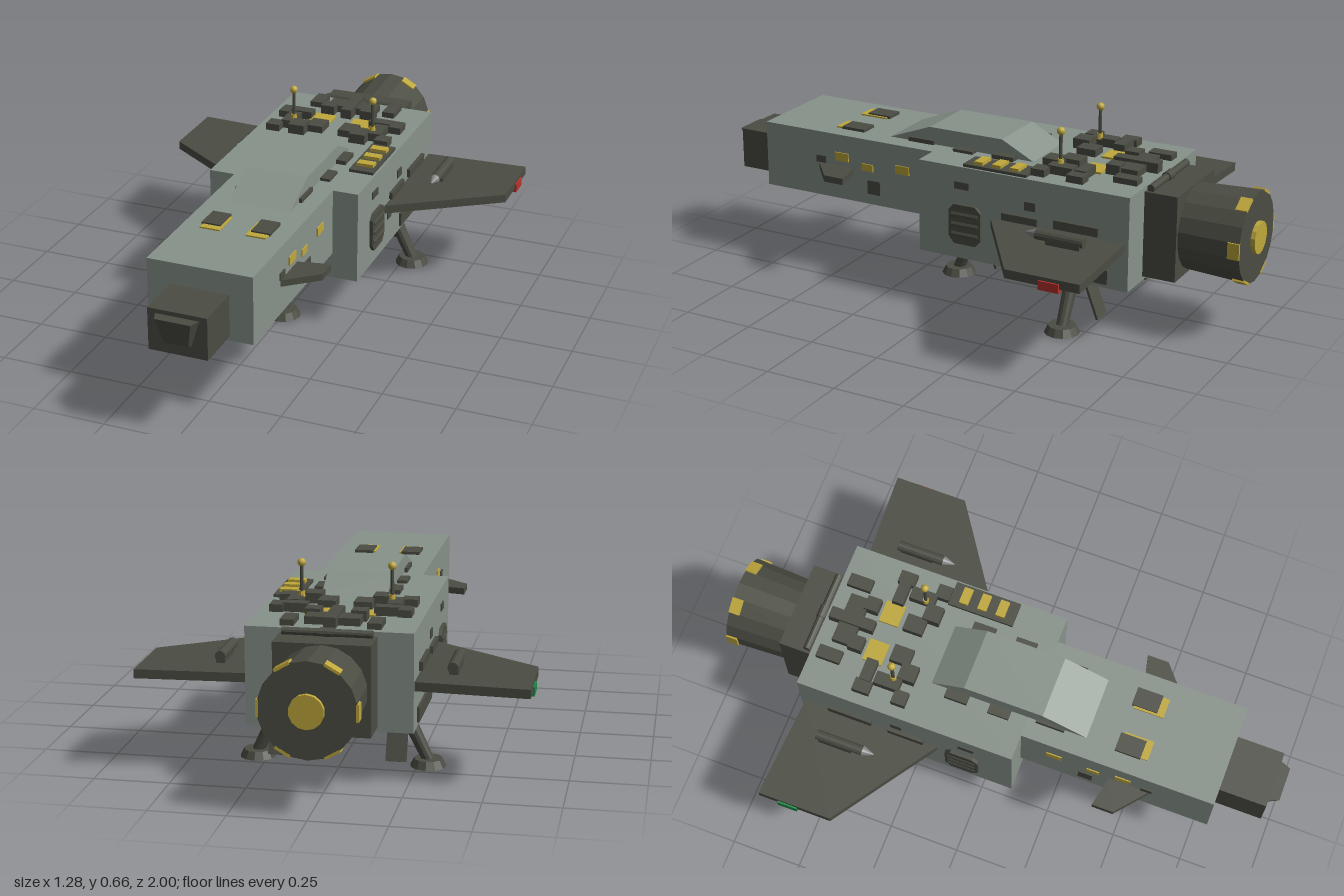
import * as THREE from 'three';

const mat = (name, color) => {
  const m = new THREE.MeshStandardMaterial({ color });
  m.name = name;
  return m;
};

export function createModel() {
  const hull = mat('hull grey green', 0x87928a);
  const dark = mat('dark olive', 0x4b4d43);
  const yellow = mat('yellow', 0xbfa83c);
  const red = mat('red', 0xb8322a);
  const green = mat('green', 0x1c8a45);
  const steel = mat('steel', 0x808482);
  const root = new THREE.Group();
  root.name = 'spacecraft';

  const add = (name, geo, m, x = 0, y = 0, z = 0) => {
    const mesh = new THREE.Mesh(geo, m);
    mesh.name = name;
    mesh.position.set(x, y, z);
    root.add(mesh);
    return mesh;
  };
  // box from its limits on each axis
  const box = (name, m, x0, x1, y0, y1, z0, z1) =>
    add(name, new THREE.BoxGeometry(Math.abs(x1 - x0), y1 - y0, Math.abs(z1 - z0)), m, (x0 + x1) / 2, (y0 + y1) / 2, (z0 + z1) / 2);
  // round bar between two points, r0 at the start and r1 at the end
  const rod = (name, m, a, b, r0, r1 = r0, n = 12) => {
    const p = new THREE.Vector3(...a), q = new THREE.Vector3(...b), d = q.clone().sub(p);
    const g = new THREE.CylinderGeometry(r1, r0, d.length(), n).toNonIndexed();
    g.computeVertexNormals();
    const mesh = add(name, g, m, ...p.clone().add(q).multiplyScalar(0.5));
    mesh.quaternion.setFromUnitVectors(new THREE.Vector3(0, 1, 0), d.normalize());
    return mesh;
  };
  const extrude = (pts, depth) =>
    new THREE.ExtrudeGeometry(new THREE.Shape(pts.map(p => new THREE.Vector2(...p))), { depth, bevelEnabled: false });
  // flat plan outline [x, z] raised from y0 to y1
  const plan = (name, m, pts, y0, y1) =>
    add(name, extrude(pts.map(([x, z]) => [x, -z]), y1 - y0).rotateX(-Math.PI / 2), m, 0, y0);
  // side outline [z, y] centred across x
  const profile = (name, m, pts, width, x = 0) =>
    add(name, extrude(pts.map(([z, y]) => [-z, y]), width).translate(0, 0, -width / 2).rotateY(Math.PI / 2), m, x);

  // fuselage and canopy
  box('rearFuselage', hull, -0.27, 0.27, 0.18, 0.505, -0.655, 0.12);
  box('frontFuselage', hull, -0.18, 0.18, 0.27, 0.505, 0.12, 0.8);
  profile('canopy', hull, [[0.33, 0.504], [0.17, 0.565], [-0.11, 0.565], [-0.23, 0.504]], 0.22);

  // nose with a tapering sensor visor
  box('nose', dark, -0.1, 0.1, 0.285, 0.43, 0.8, 0.965);
  const visor = new THREE.BoxGeometry(0.15, 0.1, 0.04);
  const vp = visor.attributes.position;
  for (let i = 0; i < vp.count; i++) {
    const top = vp.getY(i) > 0, front = vp.getZ(i) > 0;
    const half = top ? (front ? 0.06 : 0.076) : (front ? 0.04 : 0.05);
    vp.setXYZ(i, Math.sign(vp.getX(i)) * half, top ? 0.415 : 0.325, front ? (top ? 1 : 0.975) : 0.96);
  }
  visor.computeVertexNormals();
  add('noseVisor', visor, dark);

  // engine
  box('engineMount', dark, -0.155, 0.155, 0.195, 0.49, -0.77, -0.655);
  rod('engineNozzle', dark, [0, 0.342, -0.76], [0, 0.342, -0.985], 0.145, 0.155, 18);
  rod('engineCore', yellow, [0, 0.342, -0.98], [0, 0.342, -1], 0.055, 0.055, 14);
  rod('enginePipe', dark, [-0.145, 0.5, -0.672], [0.145, 0.5, -0.672], 0.013);
  rod('pipeCollar', dark, [-0.022, 0.5, -0.672], [0.022, 0.5, -0.672], 0.017);
  for (let i = 0; i < 6; i++) {
    const a = i * Math.PI / 3;
    const patch = add('nozzleMark', new THREE.BoxGeometry(0.009, 0.055, 0.04), yellow,
      Math.cos(a) * 0.153, 0.342 + Math.sin(a) * 0.153, -0.966);
    patch.rotation.z = a;
  }

  // roof equipment: x, width, z start, z end, top height
  const roof = [
    [0.14, 0.045, -0.63, -0.545, 0.525], [0.055, 0.07, -0.6, -0.53, 0.53],
    [0.075, 0.05, -0.54, -0.49, 0.54], [0.21, 0.045, -0.47, -0.41, 0.53],
    [0.15, 0.08, -0.46, -0.42, 0.535], [0.165, 0.045, -0.41, -0.32, 0.535],
    [0.06, 0.06, -0.39, -0.32, 0.53], [0.115, 0.06, -0.34, -0.28, 0.54],
    [0.205, 0.05, -0.33, -0.28, 0.53], [0.128, 0.035, -0.17, -0.09, 0.52],
    [0.128, 0.035, -0.015, 0.06, 0.515], [0.113, 0.015, 0.15, 0.25, 0.52],
  ];
  box('roofSpine', dark, -0.02, 0.02, 0.5, 0.54, -0.64, -0.48);

  for (const s of [-1, 1]) {
    for (const [x, w, z0, z1, top] of roof)
      box('roofUnit', dark, s * (x - w / 2), s * (x + w / 2), 0.5, top, z0, z1);
    box('roofPanel', yellow, s * 0.035, s * 0.115, 0.5, 0.512, -0.48, -0.41);
    box('hatchFrame', yellow, s * 0.08 - 0.035, s * 0.08 + 0.035, 0.504, 0.51, 0.44, 0.545);
    box('hatchCover', dark, s * 0.086 - 0.033, s * 0.086 + 0.033, 0.504, 0.515, 0.43, 0.52);

    // antennas
    rod('antennaMast', dark, [s * 0.15, 0.5, -0.35], [s * 0.15, 0.64, -0.35], 0.007, 0.006, 8);
    rod('antennaCollar', yellow, [s * 0.15, 0.53, -0.35], [s * 0.15, 0.55, -0.35], 0.012, 0.01, 8);
    add('antennaTip', new THREE.SphereGeometry(0.014, 10, 8), yellow, s * 0.15, 0.645, -0.35);

    // wings, tip lights and wing pods
    const flip = pts => pts.map(([x, z]) => [s * x, z]);
    plan('wing', dark, flip([[0.265, -0.64], [0.635, -0.66], [0.635, -0.4], [0.265, -0.15]]), 0.315, 0.345);
    box('tipLight', s > 0 ? red : green, s * 0.61, s * 0.641, 0.303, 0.333, -0.59, -0.52);
    box('podPylon', dark, s * 0.365, s * 0.395, 0.34, 0.365, -0.54, -0.42);
    rod('wingPod', dark, [s * 0.378, 0.37, -0.55], [s * 0.378, 0.37, -0.38], 0.018);
    rod('podTip', steel, [s * 0.378, 0.37, -0.38], [s * 0.378, 0.37, -0.34], 0.018, 0.002);
    plan('canard', dark, flip([[0.175, 0.44], [0.288, 0.415], [0.288, 0.49], [0.175, 0.585]]), 0.367, 0.39);

    // side hatch with clipped corners, vents and small plates
    profile('sideHatch', dark, [[0, 0.26], [0, 0.355], [-0.02, 0.375], [-0.1, 0.375],
      [-0.12, 0.355], [-0.12, 0.26], [-0.1, 0.235], [-0.02, 0.235]], 0.02, s * 0.272);
    for (const y of [0.27, 0.305, 0.34])
      rod('hatchRib', dark, [s * 0.275, y, -0.11], [s * 0.275, y, -0.01], 0.011, 0.011, 8);
    const plate = (m, x, z, y, w, h, t = 0.004) =>
      box('sidePlate', m, s * (x - 0.004), s * (x + t), y - h / 2, y + h / 2, z - w / 2, z + w / 2);
    plate(dark, 0.27, -0.45, 0.22, 0.27, 0.05, 0.008);
    plate(dark, 0.27, -0.265, 0.363, 0.13, 0.025, 0.012);
    plate(dark, 0.27, -0.47, 0.37, 0.16, 0.03, 0.012);
    plate(dark, 0.27, -0.045, 0.44, 0.055, 0.025);
    plate(dark, 0.27, -0.3, 0.412, 0.04, 0.03);
    plate(dark, 0.27, -0.305, 0.295, 0.09, 0.03);
    plate(dark, 0.27, -0.2, 0.295, 0.04, 0.03);
    plate(dark, 0.18, 0.57, 0.405, 0.04, 0.025);
    plate(dark, 0.18, 0.355, 0.333, 0.05, 0.05);
    plate(yellow, 0.18, 0.485, 0.425, 0.055, 0.03);
    plate(yellow, 0.18, 0.38, 0.403, 0.045, 0.025);
    plate(yellow, 0.18, 0.24, 0.417, 0.055, 0.03);
  }

  // launcher rack on the roof
  box('launcherBase', dark, 0.175, 0.262, 0.5, 0.515, -0.28, -0.045);
  for (const z of [-0.23, -0.163, -0.097])
    box('launcherCell', yellow, 0.19, 0.25, 0.51, 0.526, z - 0.016, z + 0.016);

  // belly plate and gun
  box('bellyPlate', dark, -0.14, 0.14, 0.26, 0.272, 0.14, 0.56);
  rod('gunMount', dark, [0, 0.23, 0.35], [0, 0.265, 0.35], 0.025);
  rod('gunBarrel', dark, [0, 0.225, 0.28], [0, 0.225, 0.515], 0.015);
  rod('gunMuzzle', yellow, [0, 0.225, 0.512], [0, 0.225, 0.525], 0.017);

  // landing gear: strut top x, foot x, strut top z, foot z
  for (const [tx, fx, tz, fz] of [[0, 0, 0.045, 0.12], [0.205, 0.285, -0.43, -0.43], [-0.205, -0.285, -0.43, -0.43]]) {
    rod('gearStrut', dark, [tx, 0.185, tz], [fx, 0.02, fz], 0.025, 0.02);
    rod('gearFoot', dark, [fx, 0, fz], [fx, 0.026, fz], 0.06, 0.047, 12);
    box('gearBay', dark, tx - 0.05, tx + 0.05, 0.17, 0.182, tz - 0.075, tz + 0.07);
    box('gearMark', yellow, tx - 0.035, tx + 0.035, 0.158, 0.17, tz - 0.05, tz + 0.05);
    const side = Math.sign(tx), low = side ? 0.036 : 0.055;
    const h = 0.175 - low;
    const door = add('gearDoor', new THREE.BoxGeometry(side ? 0.068 : 0.09, h, 0.008), dark,
      side * 0.194, low + h / 2, tz - 0.075);
    door.rotation.x = 0.36;
  }

  return root;
}
